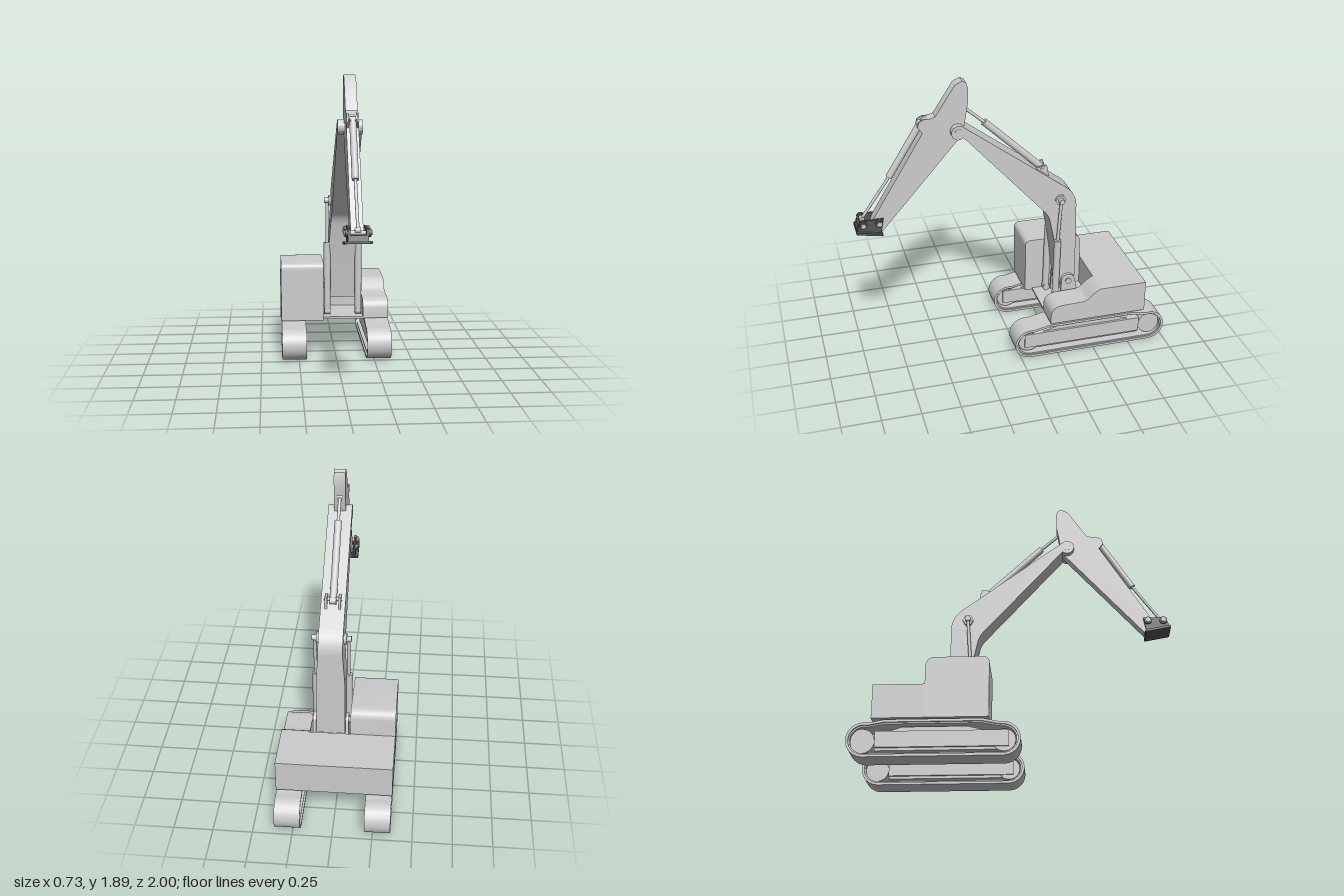
import * as THREE from 'three';
import { toCreasedNormals } from 'three/addons/utils/BufferGeometryUtils.js';

const grey = new THREE.MeshStandardMaterial({ color: 0xcccccc });
const dark = new THREE.MeshStandardMaterial({ color: 0x555555 });
const ARM_X = 0.057; // centre plane of boom and stick

export function createModel() {
  const model = new THREE.Group();

  function add(name, geometry, material = grey, parent = model) {
    const mesh = new THREE.Mesh(geometry, material);
    mesh.name = name;
    parent.add(mesh);
    return mesh;
  }

  // Side profile drawn in (z, y), extruded along x around centre x
  function sideExtrude(shape, x, width) {
    const g = new THREE.ExtrudeGeometry(shape, { depth: width, bevelEnabled: false, curveSegments: 16 });
    g.rotateY(-Math.PI / 2);
    g.translate(x + width / 2, 0, 0);
    return toCreasedNormals(g, 0.6);
  }
  const poly = (pts) => new THREE.Shape(pts.map(([z, y]) => new THREE.Vector2(z, y)));

  function box(name, x0, x1, y0, y1, z0, z1, material = grey, parent = model) {
    const g = new THREE.BoxGeometry(x1 - x0, y1 - y0, z1 - z0);
    g.translate((x0 + x1) / 2, (y0 + y1) / 2, (z0 + z1) / 2);
    return add(name, g, material, parent);
  }

  // Round bar between two (z, y) points in the plane x
  function bar(name, x, [z0, y0], [z1, y1], r, parent = model) {
    const a = new THREE.Vector3(x, y0, z0), b = new THREE.Vector3(x, y1, z1);
    const mesh = add(name, new THREE.CylinderGeometry(r, r, a.distanceTo(b), 20), grey, parent);
    mesh.position.copy(a).add(b).multiplyScalar(0.5);
    mesh.quaternion.setFromUnitVectors(new THREE.Vector3(0, 1, 0), b.sub(a).normalize());
  }

  // Pin lying along x
  function pin(name, x, z, y, r, length, sides = 20, material = grey, parent = model) {
    const g = new THREE.CylinderGeometry(r, r, length, sides);
    g.rotateZ(Math.PI / 2);
    g.translate(x, y, z);
    return add(name, g, material, parent);
  }

  // Hydraulic ram: thick barrel, thin rod, eye at both ends
  function ram(name, x, base, neck, tip, r) {
    const group = new THREE.Group();
    group.name = name;
    bar('barrel', x, base, neck, r, group);
    bar('rod', x, neck, tip, r * 0.45, group);
    pin('baseEye', x, ...base, r, r * 1.8, 20, grey, group);
    pin('rodEye', x, ...tip, r * 0.8, r * 1.6, 20, grey, group);
    model.add(group);
  }

  // Track loop, inset by t
  function loop(path, t) {
    path.absarc(-0.065, 0.105, 0.105 - t, -Math.PI / 2, 1.75, false);
    path.lineTo(-0.19, 0.231 - t);
    path.lineTo(-0.77, 0.231 - t);
    path.absarc(-0.893, 0.107, 0.107 - t, 1.35, Math.PI * 1.5, false);
    path.closePath();
    return path;
  }
  function ring(t0, t1) {
    const s = loop(new THREE.Shape(), t0);
    s.holes.push(loop(new THREE.Path(), t1));
    return s;
  }

  // Tracks
  for (const side of [-1, 1]) {
    const x = side * 0.281;
    const track = new THREE.Group();
    track.name = side > 0 ? 'leftTrack' : 'rightTrack';
    model.add(track);
    add('trackBelt', sideExtrude(ring(0, 0.016), x, 0.162), grey, track);
    add('innerRail', sideExtrude(ring(0.014, 0.025), x, 0.14), grey, track);
    box('trackFrame', x - 0.06, x + 0.06, 0.065, 0.165, -0.83, -0.03, grey, track);
    box('lowerRail', x - 0.045, x + 0.045, 0.048, 0.065, -0.83, -0.03, grey, track);
    add('frameRidge', sideExtrude(poly([[-0.15, 0.165], [-0.76, 0.165], [-0.67, 0.195], [-0.28, 0.195]]), x, 0.09), grey, track);
    pin('driveWheel', x, -0.907, 0.107, 0.076, 0.1, 28, grey, track);
    pin('idlerWheel', x, -0.06, 0.105, 0.07, 0.1, 28, grey, track);
  }

  // Upper body
  box('counterweight', -0.365, 0.362, 0.24, 0.455, -0.855, -0.54);
  box('floor', -0.09, 0.2, 0.238, 0.252, -0.54, -0.2);
  const cab = new THREE.Shape();
  cab.moveTo(-0.54, 0.24);
  cab.lineTo(-0.15, 0.24);
  cab.lineTo(-0.15, 0.59);
  cab.quadraticCurveTo(-0.15, 0.63, -0.19, 0.63);
  cab.lineTo(-0.48, 0.63);
  cab.quadraticCurveTo(-0.53, 0.63, -0.54, 0.58);
  add('cab', sideExtrude(cab, -0.2225, 0.285));
  const hood = new THREE.Shape();
  hood.moveTo(-0.54, 0.24);
  hood.lineTo(-0.2, 0.24);
  hood.lineTo(-0.2, 0.3);
  hood.quadraticCurveTo(-0.205, 0.372, -0.29, 0.372);
  hood.lineTo(-0.4, 0.375);
  hood.quadraticCurveTo(-0.44, 0.375, -0.46, 0.395);
  hood.quadraticCurveTo(-0.51, 0.445, -0.54, 0.455);
  add('engineHood', sideExtrude(hood, 0.276, 0.172));

  // Boom foot lugs and pin
  for (const s of [-1, 1]) {
    const lug = new THREE.Shape();
    lug.moveTo(-0.46, 0.25);
    lug.lineTo(-0.32, 0.25);
    lug.absarc(-0.375, 0.435, 0.047, 0.3, Math.PI - 0.3, false);
    add('boomFootLug', sideExtrude(lug, ARM_X + s * 0.105, 0.02));
  }
  pin('boomFootPin', ARM_X, -0.375, 0.435, 0.02, 0.25);

  // Boom, flared towards its foot
  const boom = new THREE.Shape();
  boom.moveTo(-0.425, 0.36);
  boom.lineTo(-0.33, 0.36);
  boom.lineTo(-0.277, 0.75);
  boom.lineTo(-0.25, 0.885);
  boom.quadraticCurveTo(-0.24, 0.93, -0.21, 0.96);
  boom.lineTo(0.31, 1.54);
  boom.absarc(0.34, 1.575, 0.046, -2.3, 2.2, false);
  boom.lineTo(-0.35, 1.12);
  boom.quadraticCurveTo(-0.425, 1.065, -0.428, 0.98);
  boom.lineTo(-0.426, 0.75);
  const boomGeo = sideExtrude(boom, 0, 0.154);
  const p = boomGeo.attributes.position;
  for (let i = 0; i < p.count; i++) {
    const flare = THREE.MathUtils.clamp((0.98 - p.getY(i)) / 0.23, 0, 1);
    p.setX(i, p.getX(i) * (1 + 0.2 * flare) + ARM_X);
  }
  add('boom', boomGeo);

  // Lift rams on both sides of the boom
  for (const s of [-1, 1]) {
    ram(s > 0 ? 'leftLiftRam' : 'rightLiftRam', ARM_X + s * 0.106, [-0.287, 0.275], [-0.297, 0.75], [-0.317, 1.035], 0.023);
    pin('liftRamBoss', ARM_X + s * 0.083, -0.317, 1.035, 0.036, 0.025, 6);
  }
  pin('liftRamPin', ARM_X, -0.317, 1.035, 0.017, 0.25);

  // Stick
  add('stick', sideExtrude(poly([
    [0.83, 0.95], [0.9, 1.0], [0.88, 1.05], [0.545, 1.6], [0.56, 1.635], [0.55, 1.658],
    [0.475, 1.68], [0.35, 1.87], [0.305, 1.893], [0.28, 1.88], [0.27, 1.85], [0.27, 1.76],
    [0.295, 1.61], [0.31, 1.545],
  ]), ARM_X, 0.074));
  pin('stickPin', ARM_X, 0.34, 1.575, 0.025, 0.158);

  // Stick ram and its brackets on the boom
  ram('stickRam', ARM_X, [-0.21, 1.245], [0.165, 1.6], [0.29, 1.71], 0.023);
  pin('stickRamPin', ARM_X, -0.2, 1.25, 0.012, 0.11);
  // Coupler ram and its brackets on the stick
  ram('couplerRam', ARM_X, [0.565, 1.63], [0.77, 1.3], [0.955, 1.035], 0.021);
  for (const s of [-1, 1]) {
    add('stickRamBracket', sideExtrude(poly([[-0.25, 1.04], [-0.14, 1.2], [-0.165, 1.265], [-0.23, 1.275], [-0.24, 1.25]]), ARM_X + s * 0.043, 0.014));
    add('couplerRamBracket', sideExtrude(poly([[0.5, 1.59], [0.555, 1.58], [0.585, 1.62], [0.575, 1.655], [0.545, 1.67], [0.5, 1.67]]), ARM_X + s * 0.031, 0.012));
  }

  // Tool coupler at the stick tip
  const coupler = new THREE.Group();
  coupler.name = 'toolCoupler';
  model.add(coupler);
  for (const s of [-1, 1]) {
    add('sidePlate', sideExtrude(poly([[0.99, 0.97], [0.975, 1.045], [0.825, 1.045], [0.845, 0.945]]), ARM_X + s * 0.052, 0.014), dark, coupler);
  }
  add('basePlate', sideExtrude(poly([[1.0, 0.965], [0.998, 0.98], [0.835, 0.95], [0.838, 0.935]]), ARM_X, 0.16), dark, coupler);
  add('frontLip', sideExtrude(poly([[1.0, 0.965], [0.985, 1.01], [0.97, 1.01], [0.975, 0.965]]), ARM_X, 0.11), dark, coupler);
  for (const [z, y] of [[0.955, 1.02], [0.855, 1.02]]) {
    pin('couplerPin', ARM_X, z, y, 0.014, 0.16, 16, grey, coupler);
    for (const s of [-1, 1]) pin('pinCollar', ARM_X + s * 0.066, z, y, 0.024, 0.016, 16, dark, coupler);
  }

  return model;
}
